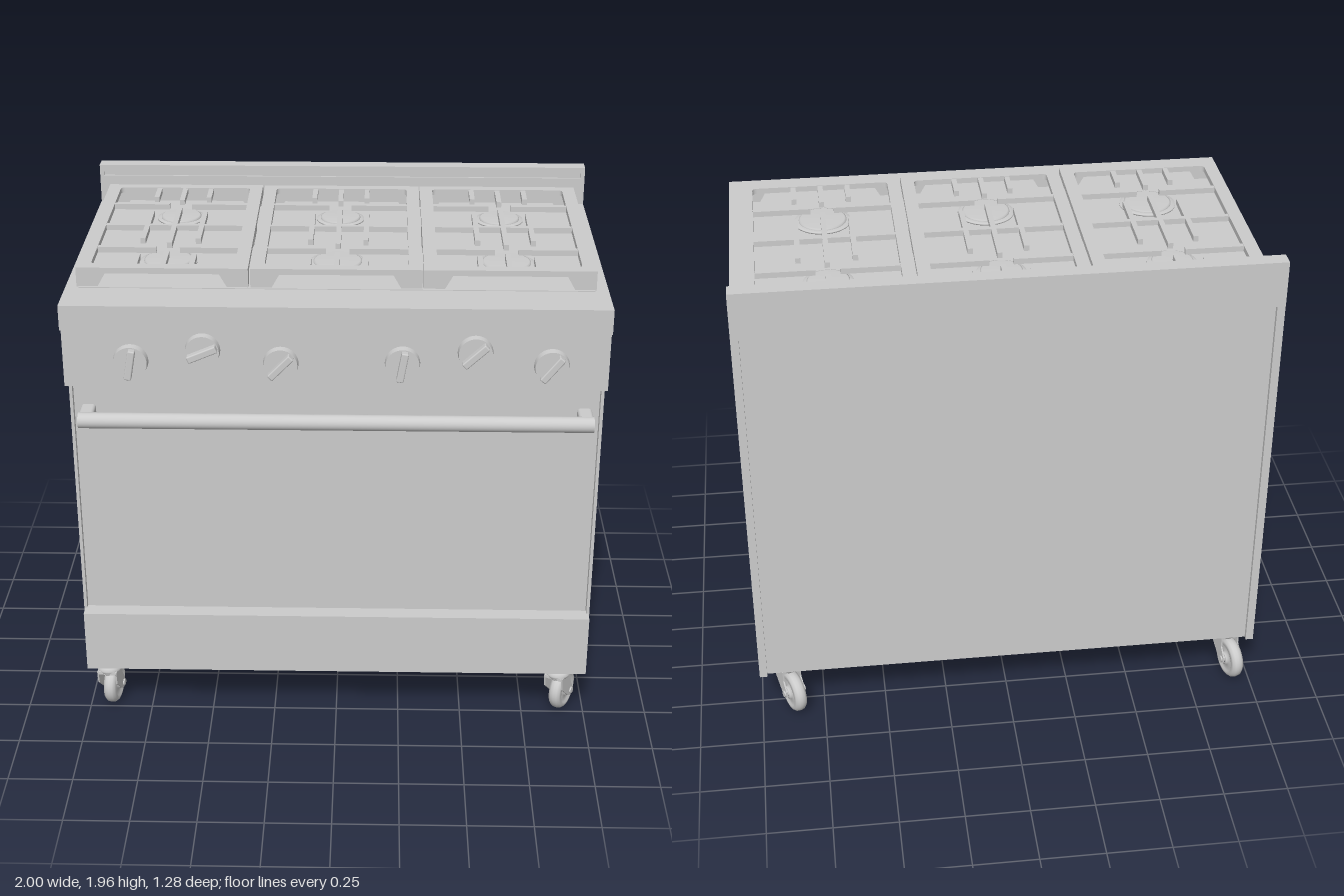
import * as THREE from 'three';
import { RoundedBoxGeometry } from 'three/addons/geometries/RoundedBoxGeometry.js';

const material = new THREE.MeshStandardMaterial({ color: 0xcccccc, roughness: 0.6 });

function add(parent, name, geometry, x = 0, y = 0, z = 0) {
  const mesh = new THREE.Mesh(geometry, material);
  mesh.name = name;
  mesh.position.set(x, y, z);
  parent.add(mesh);
  return mesh;
}

// Box given by its extents on each axis
function box(parent, name, [x0, x1], [y0, y1], [z0, z1]) {
  return add(parent, name, new THREE.BoxGeometry(x1 - x0, y1 - y0, z1 - z0),
    (x0 + x1) / 2, (y0 + y1) / 2, (z0 + z1) / 2);
}

const polygon = (points) => new THREE.Shape(points.map(([x, y]) => new THREE.Vector2(x, y)));
const lathe = (points, segments = 40) =>
  new THREE.LatheGeometry(points.map(([r, y]) => new THREE.Vector2(r, y)), segments);
const extrude = (shape, depth) => new THREE.ExtrudeGeometry(shape, { depth, bevelEnabled: false, curveSegments: 16 });

function buildBody() {
  const g = new THREE.Group();
  g.name = 'body';
  box(g, 'ovenCase', [-0.988, 0.988], [0.22, 1.8], [-0.595, 0.47]);
  for (const s of [-1, 1]) {
    box(g, 'sidePanel', [s * 0.994 - 0.006, s * 0.994 + 0.006], [0.22, 1.8], [-0.612, 0.5]);
    box(g, 'backFlange', [s * 0.985 - 0.015, s * 0.985 + 0.015], [0.22, 1.78], [-0.613, -0.59]);
  }
  box(g, 'ovenDoor', [-0.984, 0.984], [0.475, 1.465], [0.46, 0.497]);
  box(g, 'kickPlate', [-0.996, 0.996], [0.21, 0.465], [0.45, 0.546]);
  box(g, 'controlPanel', [-1, 1], [1.47, 1.71], [0.45, 0.585]);
  box(g, 'frontLedge', [-1, 1], [1.705, 1.8], [0.4, 0.615]);
  box(g, 'cooktop', [-0.95, 0.95], [1.795, 1.803], [-0.555, 0.436]);

  // Backguard with a shallow groove along its front
  const guard = polygon([[-0.615, 1.775], [-0.59, 1.775], [-0.59, 1.8], [-0.555, 1.8], [-0.555, 1.91],
    [-0.563, 1.91], [-0.563, 1.938], [-0.555, 1.938], [-0.555, 1.955], [-0.615, 1.955]]);
  const guardMesh = add(g, 'backguard', extrude(guard, 1.97), 0.985, 0, 0);
  guardMesh.rotation.y = -Math.PI / 2;
  guardMesh.scale.z = 1;
  for (const s of [-1, 1])
    box(g, 'backguardEnd', [s * 0.992 - 0.008, s * 0.992 + 0.008], [1.775, 1.955], [-0.615, -0.555]);
  return g;
}

function buildHandle() {
  const g = new THREE.Group();
  g.name = 'doorHandle';
  const bar = add(g, 'handleBar', new THREE.CylinderGeometry(0.03, 0.03, 1.915, 32), 0, 1.33, 0.583);
  bar.rotation.z = Math.PI / 2;
  for (const s of [-1, 1])
    add(g, 'handleBracket', new RoundedBoxGeometry(0.055, 0.056, 0.1, 3, 0.012), s * 0.93, 1.33, 0.54);
  return g;
}

// Round knob with a raised grip bar
function buildKnob(x, y, angle) {
  const g = new THREE.Group();
  g.name = 'knob';
  g.position.set(x, y, 0.585);
  const disc = add(g, 'knobDisc', new THREE.CylinderGeometry(0.062, 0.065, 0.028, 40), 0, 0, 0.014);
  disc.rotation.x = Math.PI / 2;
  const grip = add(g, 'knobGrip', new RoundedBoxGeometry(0.115, 0.027, 0.05, 2, 0.005), 0, 0, 0.03);
  grip.rotation.z = angle;
  return g;
}

// Skirt wall of a grate with sloped cut-outs between its feet
function skirt(start, end, openings) {
  const pts = [[start, 1.875], [start, 1.8]];
  for (const [a, b] of openings)
    pts.push([a, 1.8], [a + 0.03, 1.853], [b - 0.03, 1.853], [b, 1.8]);
  pts.push([end, 1.8], [end, 1.875]);
  return extrude(polygon(pts), 0.014);
}

function roundedRect(target, x0, x1, y0, y1, r) {
  target.moveTo(x0 + r, y0).lineTo(x1 - r, y0).quadraticCurveTo(x1, y0, x1, y0 + r)
    .lineTo(x1, y1 - r).quadraticCurveTo(x1, y1, x1 - r, y1)
    .lineTo(x0 + r, y1).quadraticCurveTo(x0, y1, x0, y1 - r)
    .lineTo(x0, y0 + r).quadraticCurveTo(x0, y0, x0 + r, y0);
  return target;
}

const burners = [{ z: -0.31, r: 0.095 }, { z: 0.19, r: 0.11 }];

function buildGrate(cx) {
  const g = new THREE.Group();
  g.name = 'grate';
  g.position.x = cx;
  const zBack = -0.545, zFront = 0.425, half = 0.317;

  // Top frame, drawn in x and -z, then laid flat
  const frame = polygon([[-half, -zFront], [half, -zFront], [half, -zBack], [-half, -zBack]]);
  frame.holes.push(roundedRect(new THREE.Path(), -0.266, 0.266, -0.38, 0.505, 0.02));
  const top = add(g, 'grateFrame', extrude(frame, 0.022), 0, 1.853, 0);
  top.rotation.x = -Math.PI / 2;

  // Skirts on all four sides
  for (const z of [zFront - 0.014, zBack])
    add(g, 'grateSkirt', skirt(-half, half, [[-0.24, 0.24]]), 0, 0, z);
  for (const x of [-half + 0.014, half]) {
    const side = add(g, 'grateSkirt', skirt(-zFront, -zBack, [[-0.375, 0.01], [0.095, 0.495]]), x - 0.014, 0, 0);
    side.rotation.y = Math.PI / 2;
  }

  // Cross bar, burner fingers and short side fingers
  const level = [1.851, 1.873], w = 0.01;
  const bar = (x, z) => box(g, 'grateBar', x, level, z);
  bar([-0.27, 0.27], [-0.07, -0.05]);
  for (const { z } of burners)
    for (const s of [-1, 1])
      bar(s < 0 ? [-0.27, -0.045] : [0.045, 0.27], [z - w, z + w]);
  for (const z of [[-0.51, -0.355], [-0.265, 0.145], [0.235, 0.385]]) bar([-w, w], z);
  for (const x of [-0.106, 0.106])
    for (const z of [[-0.51, -0.39], [-0.22, 0.1], [0.27, 0.385]]) bar([x - w, x + w], z);
  return g;
}

function buildBurner(x, { z, r }) {
  const g = new THREE.Group();
  g.name = 'burner';
  g.position.set(x, 1.8, z);
  add(g, 'burnerBase', lathe([[0.6 * r, 0], [0.65 * r, 0.009], [r, 0.012], [r, 0.017], [0.85 * r, 0.019], [0, 0.019]]));
  add(g, 'burnerCap', lathe([[0.84 * r, 0.017], [0.84 * r, 0.024], [0.78 * r, 0.027], [0, 0.028]]));
  return g;
}

// Swivel caster, wheel trailing toward -z before it is turned
function buildCaster(x, z, turn) {
  const g = new THREE.Group();
  g.name = 'caster';
  g.position.set(x, 0, z);
  g.rotation.y = turn;
  add(g, 'casterStem', new THREE.CylinderGeometry(0.018, 0.018, 0.05, 20), 0, 0.2, 0);
  add(g, 'swivelHead', lathe([[0, 0.165], [0.034, 0.165], [0.046, 0.178], [0.05, 0.19], [0.042, 0.2], [0, 0.204]], 28));

  const fork = polygon([[-0.044, 0.185], [-0.035, 0.13], [0.03, 0.07], [0.05, 0.062], [0.066, 0.075],
    [0.066, 0.1], [0.04, 0.14], [0.04, 0.185]]);
  for (const s of [-1, 1]) {
    const plate = add(g, 'forkPlate', extrude(fork, 0.006), s * 0.037 - 0.003, 0, 0);
    plate.rotation.y = Math.PI / 2;
  }
  box(g, 'forkBridge', [-0.037, 0.037], [0.174, 0.186], [-0.04, 0.044]);

  const wheel = lathe([[0.018, -0.03], [0.026, -0.03], [0.028, -0.018], [0.058, -0.018], [0.06, -0.026], [0.074, -0.023],
    [0.083, -0.013], [0.085, 0], [0.083, 0.013], [0.074, 0.023], [0.06, 0.026], [0.058, 0.018],
    [0.028, 0.018], [0.026, 0.03], [0.018, 0.03]]);
  add(g, 'wheel', wheel, 0, 0.085, -0.05).rotation.z = Math.PI / 2;
  const axle = add(g, 'axle', new THREE.CylinderGeometry(0.014, 0.014, 0.092, 12), 0, 0.085, -0.05);
  axle.rotation.z = Math.PI / 2;
  return g;
}

export function createModel() {
  const model = new THREE.Group();
  model.name = 'rangeCooker';
  model.add(buildBody(), buildHandle());

  // Knobs: x, y, grip angle
  for (const [x, y, a] of [[-0.75, 1.575, 1.4], [-0.485, 1.62, 0.4], [-0.2, 1.57, 0.8],
    [0.245, 1.575, 1.4], [0.51, 1.62, 0.75], [0.79, 1.57, 0.9]]) model.add(buildKnob(x, y, a));

  for (const x of [-0.642, 0, 0.638]) {
    model.add(buildGrate(x));
    for (const burner of burners) model.add(buildBurner(x, burner));
  }

  // Casters: x, z, swivel angle
  for (const [x, z, a] of [[-0.915, 0.495, -0.15], [0.89, 0.495, -0.5],
    [-0.915, -0.505, 0.25], [0.89, -0.505, 0.4]]) model.add(buildCaster(x, z, a));
  return model;
}
